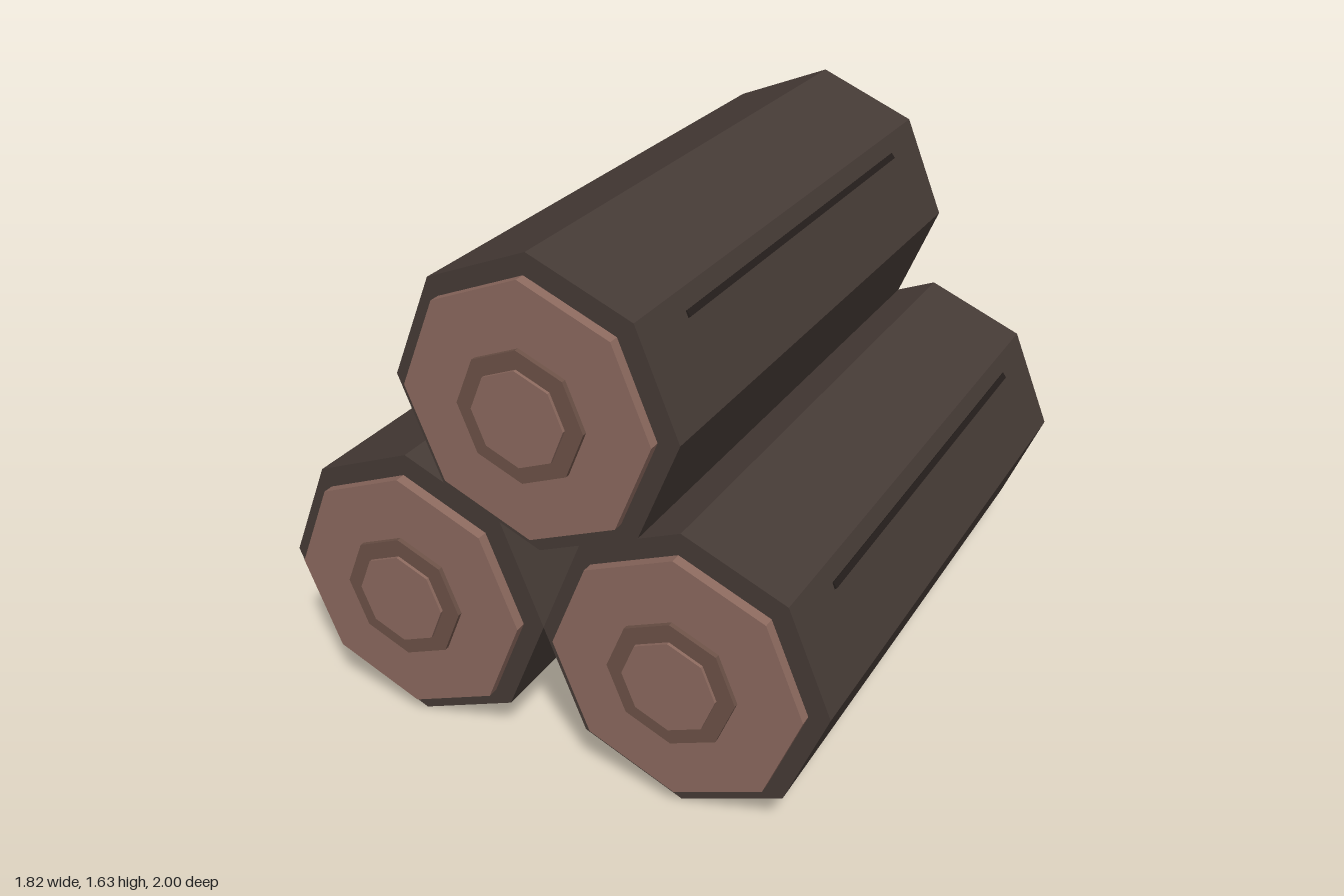
import * as THREE from 'three';

const mat = (color) => new THREE.MeshStandardMaterial({ color, flatShading: true });

// Octagonal prism lying along z, between two z positions
function prism(name, radius, z0, z1, material) {
  const geo = new THREE.CylinderGeometry(radius, radius, z1 - z0, 8);
  geo.rotateX(Math.PI / 2);
  geo.translate(0, 0, (z0 + z1) / 2);
  const mesh = new THREE.Mesh(geo, material);
  mesh.name = name;
  return mesh;
}

export function createModel() {
  const model = new THREE.Group();
  model.name = 'logPile';
  const bark = mat(0x463b36);
  const wood = mat(0x8d6a5f);
  const ring = mat(0x6d5248);
  const groove = mat(0x241e1b);

  function makeLog(name, x, y) {
    const log = new THREE.Group();
    log.name = name;
    log.position.set(x, y, 0);
    log.add(
      prism('bark', 0.455, -1, 0.92, bark),
      // Sawn front end with growth rings
      prism('cutFace', 0.395, 0.933, 0.967, wood),
      prism('growthRing', 0.202, 0.973, 0.988, ring),
      prism('heartwood', 0.147, 0.99, 1, wood)
    );
    // Thin bark line along one side
    const line = new THREE.Mesh(new THREE.BoxGeometry(0.02, 0.02, 1.465), groove);
    line.name = 'barkLine';
    line.position.set(0.345, 0.255, -0.05);
    line.rotation.z = Math.PI / 5;
    log.add(line);
    return log;
  }

  model.add(
    makeLog('leftLog', 0.455, 0.457),
    makeLog('rightLog', -0.455, 0.457),
    makeLog('topLog', 0, 1.178)
  );
  return model;
}
